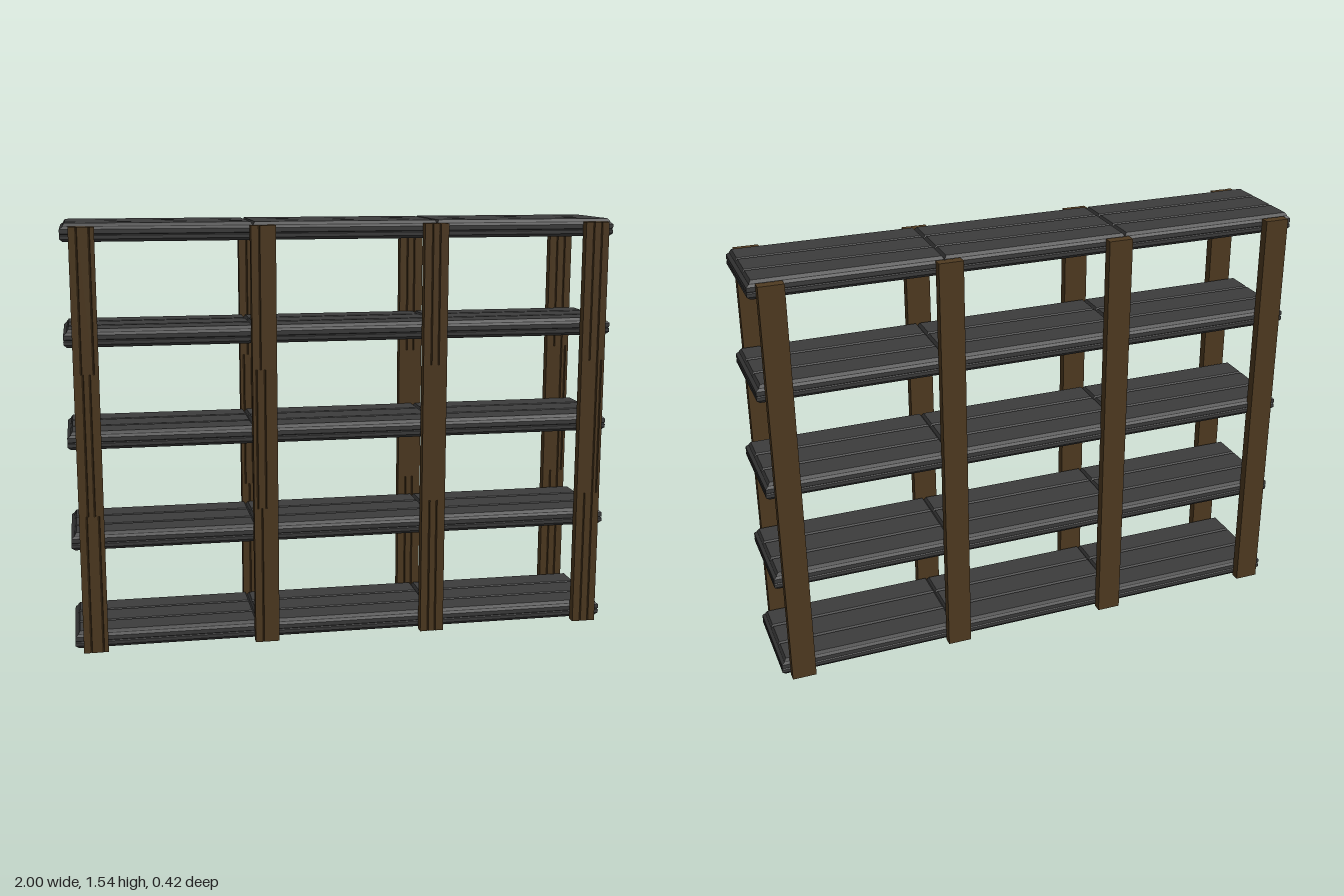
import * as THREE from 'three';

const shelfMat = new THREE.MeshStandardMaterial({ color: 0x3d3d3d });
shelfMat.name = 'charcoal plank';
const woodMat = new THREE.MeshStandardMaterial({ color: 0x503b21 });
woodMat.name = 'brown wood';

// Rectangular loft: layers are [y, halfX, halfZ] from bottom to top, flat faces
function rectLoft(layers) {
  const ring = ([y, hx, hz]) => [[-hx, y, hz], [hx, y, hz], [hx, y, -hz], [-hx, y, -hz]];
  const rings = layers.map(ring);
  const pos = [];
  const quad = (a, b, c, d) => pos.push(...a, ...b, ...c, ...a, ...c, ...d);
  for (let i = 0; i < rings.length - 1; i++) {
    const lo = rings[i], hi = rings[i + 1];
    for (let k = 0; k < 4; k++) {
      const n = (k + 1) % 4;
      quad(lo[k], lo[n], hi[n], hi[k]);
    }
  }
  const b = rings[0], t = rings[rings.length - 1];
  quad(t[0], t[1], t[2], t[3]);
  quad(b[3], b[2], b[1], b[0]);
  const geo = new THREE.BufferGeometry();
  geo.setAttribute('position', new THREE.Float32BufferAttribute(pos, 3));
  geo.computeVertexNormals();
  return geo;
}

// Shelf: a grooved core slab carrying a 3 x 3 field of bevelled boards
function makeShelf() {
  const shelf = new THREE.Group();
  const core = new THREE.Mesh(rectLoft([
    [0, 0.988, 0.168], [0.01, 1, 0.175], [0.022, 1, 0.175], [0.025, 0.996, 0.171],
    [0.028, 1, 0.175], [0.043, 1, 0.175], [0.053, 0.988, 0.168],
  ]), shelfMat);
  core.name = 'shelfCore';
  shelf.add(core);
  const xs = [-0.99, -0.333, 0.333, 0.99], zs = [-0.17, -0.06, 0.06, 0.17];
  for (let i = 0; i < 3; i++) {
    for (let j = 0; j < 3; j++) {
      const hx = (xs[i + 1] - xs[i]) / 2, hz = (zs[j + 1] - zs[j]) / 2;
      const board = new THREE.Mesh(rectLoft([
        [0.045, hx, hz], [0.054, hx - 0.001, hz - 0.001], [0.064, hx - 0.008, hz - 0.007],
      ]), shelfMat);
      board.name = 'shelfBoard';
      board.position.set((xs[i] + xs[i + 1]) / 2, 0, (zs[j] + zs[j + 1]) / 2);
      shelf.add(board);
    }
  }
  return shelf;
}

// Post segment: plank section with narrow vertical grooves in its front face
function postSegment(grooves, height) {
  const w = 0.044, d = 0.0175, g = 0.003;
  const s = new THREE.Shape();
  s.moveTo(-w, -d);
  for (const x of grooves) {
    s.lineTo(x - g, -d);
    s.lineTo(x, -d + 0.005);
    s.lineTo(x + g, -d);
  }
  s.lineTo(w, -d);
  s.lineTo(w, d);
  s.lineTo(-w, d);
  s.closePath();
  return new THREE.ExtrudeGeometry(s, { depth: height, bevelEnabled: false }).rotateX(-Math.PI / 2);
}

// Each post: centre x, grooves of the end segments, grooves of the middle segment
const posts = [
  { x: -0.926, ends: [-0.017, 0.026], middle: [-0.012, 0.012] },
  { x: -0.302, ends: [-0.015], middle: [-0.03, 0.0] },
  { x: 0.322, ends: [-0.015, 0.012], middle: [] },
  { x: 0.926, ends: [-0.014, 0.016], middle: [0.016, 0.032] },
];

export function createModel() {
  const model = new THREE.Group();
  model.name = 'shelvingUnit';

  [0.005, 0.375, 0.742, 1.107, 1.472].forEach((y, i) => {
    const shelf = makeShelf();
    shelf.name = 'shelf' + (i + 1);
    shelf.position.set(0, y, i === 2 ? -0.008 : -0.003);
    model.add(shelf);
  });

  const segment = 1.525 / 3;
  for (const z of [0.193, -0.193]) {
    for (const p of posts) {
      const post = new THREE.Group();
      post.name = z > 0 ? 'frontPost' : 'backPost';
      post.position.set(p.x, 0, z);
      for (let k = 0; k < 3; k++) {
        const mesh = new THREE.Mesh(postSegment(k === 1 ? p.middle : p.ends, segment), woodMat);
        mesh.name = 'postSegment';
        mesh.position.y = k * segment;
        post.add(mesh);
      }
      model.add(post);
    }
  }
  return model;
}
